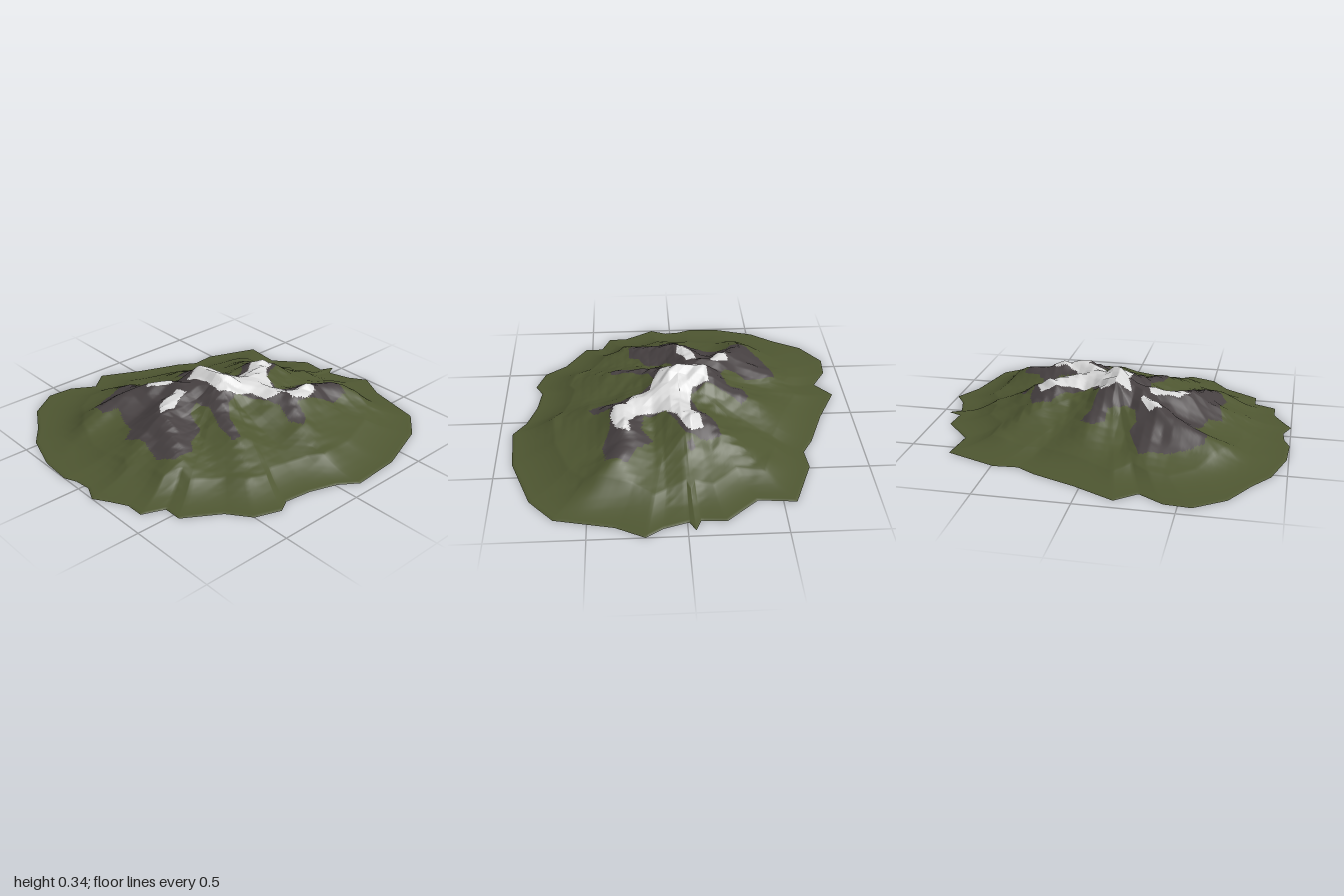
import * as THREE from 'three';

// Rim of the terrain, as x, z pairs
const RIM = [-.57, -.93, -.43, -.92, -.30, -.84, -.19, -.93, .03, -.82, .26, -.73, .36, -.67, .49, -.68,
  .77, -.57, .75, -.37, .90, -.20, .89, -.07, .96, -.04, .90, -.01, .94, .12, 1, .21, .92, .36, .85, .67,
  .77, .74, .70, .80, .39, .91, .11, .93, .01, .86, -.14, .81, -.29, .79, -.36, .83, -.50, .78, -.59, .66,
  -.78, .54, -.78, .44, -.90, .39, -.90, .29, -.95, .20, -1, .12, -.96, .03, -.97, -.06, -1, -.13,
  -.99, -.31, -.92, -.53, -.83, -.65, -.73, -.82];

// Ridge lines, as x, z, height triples
const RIDGES = [
  [-.05, -.13, .325, -.05, -.06, .31, -.03, .01, .335, .08, .08, .27, .18, .06, .255, .35, -.05, .255, .42, -.03, .22, .52, 0, .14, .8, 0, .04],
  [.12, .08, .26, .15, .22, .25, .22, .33, .24, .35, .30, .235, .45, .28, .20, .57, .34, .18, .72, .5, .08],
  [-.08, -.08, .31, -.18, -.08, .27, -.33, -.07, .25, -.42, -.03, .235, -.56, .02, .155, -.8, .08, .04],
  [-.42, -.03, .235, -.5, .18, .17, -.56, .27, .13, -.7, .4, .05],
  [-.16, -.10, .27, -.23, -.22, .25, -.30, -.28, .24, -.42, -.36, .20, -.56, -.4, .14, -.8, -.34, .04],
  [-.30, -.28, .24, -.28, -.5, .13, -.3, -.7, .025],
  [0, -.15, .29, .02, -.3, .2, .04, -.4, .15, .06, -.6, .04],
  [.3, -.07, .25, .38, -.2, .18, .5, -.4, .07],
  [-.1, .08, .27, -.18, .2, .21, -.23, .36, .17, -.35, .55, .08],
  [.2, .33, .24, .13, .47, .16, .1, .65, .09],
];

// Ground cover boundaries, as x, z pairs
const ROCK = [
  [-.25, -.59, -.40, -.55, -.48, -.51, -.57, -.45, -.58, -.36, -.50, -.32, -.53, -.23, -.56, -.13, -.63, -.09,
    -.60, .05, -.63, .18, -.58, .27, -.46, .27, -.42, .21, -.32, .17, -.29, .05, -.22, .02, -.20, .11, -.25, .24,
    -.27, .37, -.22, .38, -.18, .25, -.11, .16, -.02, .13, .06, .21, .12, .32, .09, .43, .13, .50, .18, .47,
    .20, .38, .35, .38, .45, .42, .57, .40, .60, .29, .49, .23, .42, .15, .35, .21, .26, .20, .26, .08, .35, .02,
    .43, -.02, .45, -.11, .41, -.21, .31, -.19, .24, -.11, .11, -.06, .04, -.16, .06, -.29, .10, -.35, .04, -.40,
    -.03, -.37, -.03, -.28, -.13, -.25, -.18, -.28, -.20, -.35, -.17, -.40, -.22, -.51],
  [.46, -.05, .50, -.07, .52, -.04, .48, -.02],
];
const SNOW = [
  [-.14, -.16, .03, -.17, .06, -.08, .14, -.06, .24, -.06, .30, -.10, .38, -.12, .42, -.05, .39, -.02, .31, .02,
    .26, .08, .24, .16, .26, .24, .33, .28, .41, .27, .38, .34, .28, .38, .19, .35, .20, .29, .09, .25, .06, .16,
    -.02, .14, -.11, .08, -.10, -.03],
  [-.44, -.02, -.39, -.09, -.24, -.13, -.22, -.06, -.30, -.04, -.35, -.01],
  [-.33, -.29, -.26, -.31, -.20, -.23, -.21, -.19, -.29, -.24],
];

// Even-odd test of a point against a flat list of corners
function inside(poly, x, z) {
  let hit = false;
  for (let i = 0, j = poly.length - 2; i < poly.length; j = i, i += 2) {
    const [xi, zi, xj, zj] = [poly[i], poly[i + 1], poly[j], poly[j + 1]];
    if (zi > z !== zj > z && x < (xj - xi) * (z - zi) / (zj - zi) + xi) hit = !hit;
  }
  return hit;
}

// How far the ridges lift a point above a base level
function ridgeLift(x, z, base) {
  let lift = 0;
  for (const r of RIDGES) {
    for (let i = 0; i + 5 < r.length; i += 3) {
      const dx = r[i + 3] - r[i], dz = r[i + 4] - r[i + 1];
      const t = THREE.MathUtils.clamp(((x - r[i]) * dx + (z - r[i + 1]) * dz) / (dx * dx + dz * dz), 0, 1);
      const d = Math.hypot(x - r[i] - dx * t, z - r[i + 1] - dz * t);
      const top = r[i + 2] + (r[i + 5] - r[i + 2]) * t;
      lift = Math.max(lift, (top - base) / (1 + Math.pow(d / 0.11, 1.8)));
    }
  }
  return lift;
}

// Height: a low dome, flatter at the back, with ridges broken into triangular facets
const CELL = 0.05;
function height(x, z, s) {
  const base = 0.22 * Math.pow(1 - s, 1.45 - 0.45 * z);
  const corner = (i, k) => {
    const n = Math.sin(i * 127.1 + k * 311.7) * 43758.5453;
    const h = base + ridgeLift(i * CELL, k * CELL, base);
    return h + (n - Math.floor(n) - 0.5) * 0.35 * h * h;
  };
  const i = Math.floor(x / CELL), k = Math.floor(z / CELL), u = x / CELL - i, v = z / CELL - k;
  const a = corner(i, k), d = corner(i + 1, k + 1);
  const h = u > v
    ? a * (1 - u) + corner(i + 1, k) * (u - v) + d * v
    : a * (1 - v) + corner(i, k + 1) * (v - u) + d * u;
  return 0.004 + h * Math.min(1, (1 - s) * 4);
}

export function createModel() {
  const group = new THREE.Group();
  group.name = 'mountain';
  const RINGS = 100, SPLIT = 8, n = RIM.length / 2, cols = n * SPLIT;

  // Rings of points shrinking from the rim to the middle
  const pos = [];
  for (let i = 0; i <= RINGS; i++) {
    const s = i / RINGS;
    for (let j = 0; j < cols; j++) {
      const a = Math.floor(j / SPLIT), b = (a + 1) % n, f = (j % SPLIT) / SPLIT;
      const x = s * THREE.MathUtils.lerp(RIM[2 * a], RIM[2 * b], f);
      const z = s * THREE.MathUtils.lerp(RIM[2 * a + 1], RIM[2 * b + 1], f);
      pos.push(x, i === RINGS ? 0 : height(x, z, s), z);
    }
  }

  // Sort triangles into ground covers by their middle
  const faces = { grass: [], rock: [], snow: [] }, all = [];
  const addFace = (...t) => {
    const x = (pos[3 * t[0]] + pos[3 * t[1]] + pos[3 * t[2]]) / 3;
    const z = (pos[3 * t[0] + 2] + pos[3 * t[1] + 2] + pos[3 * t[2] + 2]) / 3;
    const cover = SNOW.some(p => inside(p, x, z)) ? 'snow' : ROCK.some(p => inside(p, x, z)) ? 'rock' : 'grass';
    faces[cover].push(...t);
    all.push(...t);
  };
  for (let i = 0; i < RINGS; i++) {
    for (let j = 0; j < cols; j++) {
      const k = (j + 1) % cols;
      const a = i * cols + j, b = i * cols + k, c = a + cols, d = b + cols;
      addFace(a, d, c);
      if (i > 0) addFace(a, b, d);
    }
  }

  // One shared set of points and normals, so the covers meet without seams
  const terrain = new THREE.BufferGeometry();
  terrain.setAttribute('position', new THREE.Float32BufferAttribute(pos, 3));
  terrain.setIndex(all);
  terrain.computeVertexNormals();

  const colors = { grass: 0x4e5631, rock: 0x464041, snow: 0xd8d8d8 };
  for (const name of Object.keys(colors)) {
    const geo = new THREE.BufferGeometry();
    geo.setAttribute('position', terrain.getAttribute('position'));
    geo.setAttribute('normal', terrain.getAttribute('normal'));
    geo.setIndex(faces[name]);
    const mat = new THREE.MeshStandardMaterial({ color: colors[name], side: THREE.DoubleSide });
    mat.name = name;
    const mesh = new THREE.Mesh(geo, mat);
    mesh.name = name + 'Slopes';
    group.add(mesh);
  }
  return group;
}
